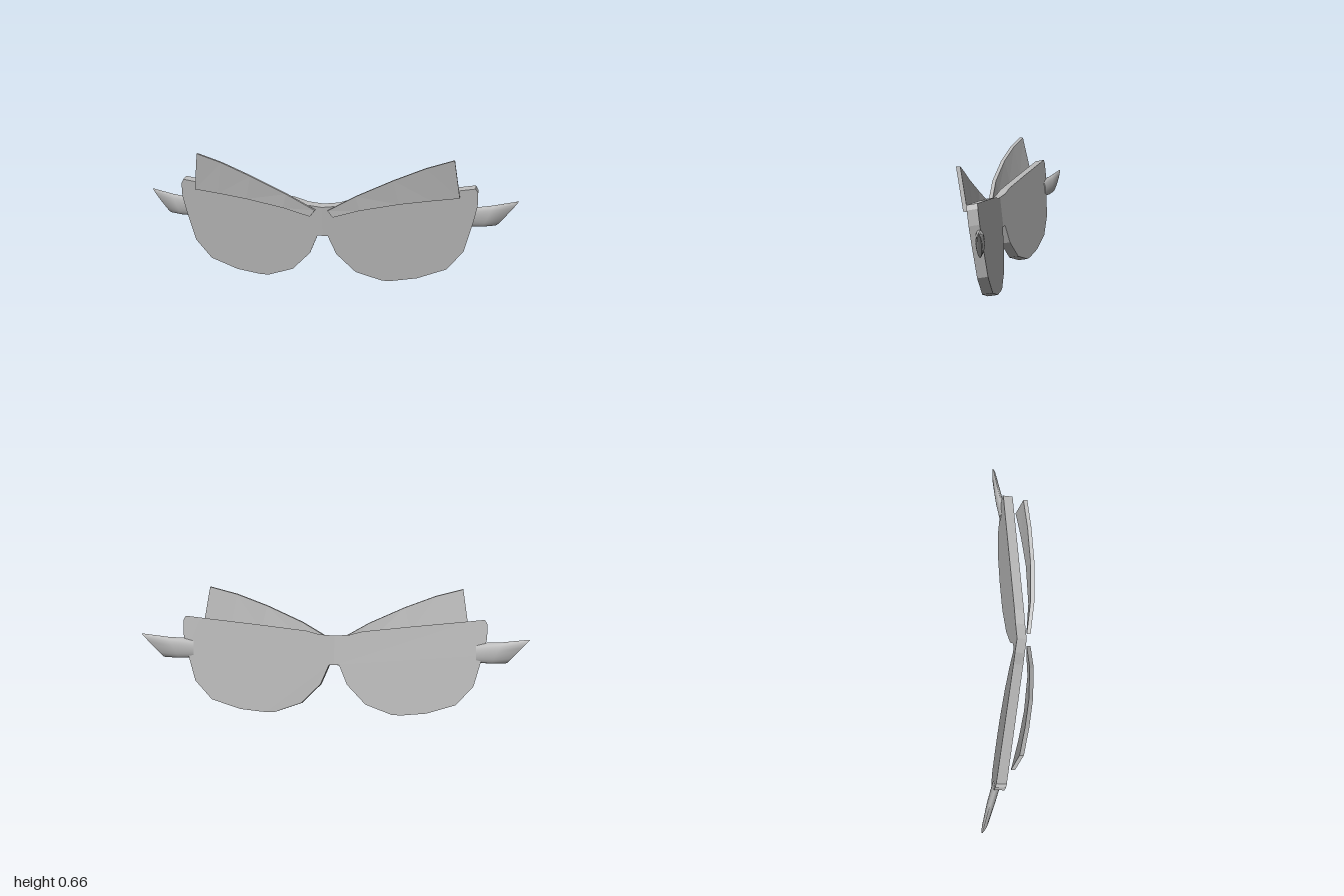
import * as THREE from 'three';
import { toCreasedNormals } from 'three/addons/utils/BufferGeometryUtils.js';

// Triangle list to geometry, optionally mirrored in x with its winding turned
function finish(tris, side, crease) {
  const out = [];
  for (let i = 0; i < tris.length; i += 3) {
    const t = side > 0 ? [tris[i], tris[i + 1], tris[i + 2]] : [tris[i], tris[i + 2], tris[i + 1]];
    for (const p of t) out.push(p[0] * side, p[1], p[2]);
  }
  const g = new THREE.BufferGeometry();
  g.setAttribute('position', new THREE.Float32BufferAttribute(out, 3));
  g.computeVertexNormals();
  return crease ? toCreasedNormals(g, crease) : g;
}

// Closed skin over rings of points, each counter-clockwise seen from +x
function loft(rings) {
  const tris = [], n = rings[0].length;
  for (let i = 0; i < rings.length - 1; i++) {
    for (let j = 0; j < n; j++) {
      const k = (j + 1) % n, A = rings[i], B = rings[i + 1];
      tris.push(A[j], A[k], B[k], A[j], B[k], B[j]);
    }
  }
  const S = rings[0], E = rings[rings.length - 1];
  for (let j = 1; j < n - 1; j++) tris.push(S[0], S[j + 1], S[j], E[0], E[j], E[j + 1]);
  return tris;
}

// Half of the front: an outline laid on a plane that leans and sweeps back
function frameTris() {
  const outline = [
    [0, 0.25], [0.027, 0.25], [0.07, 0.15], [0.17, 0.05], [0.31, 0.003], [0.36, 0.003], [0.49, 0.02],
    [0.64, 0.072], [0.727, 0.172], [0.77, 0.33], [0.79, 0.42], [0.79, 0.49], [0.777, 0.512],
    [0.7, 0.502], [0.4, 0.465], [0.15, 0.432], [0.08, 0.412], [0, 0.405],
  ];
  const shape = new THREE.Shape(outline.map(p => new THREE.Vector2(...p)));
  const pos = new THREE.ExtrudeGeometry(shape, { depth: 1, bevelEnabled: false }).attributes.position;
  const tris = [];
  for (let i = 0; i < pos.count; i++) {
    const x = pos.getX(i), y = pos.getY(i), back = 1 - pos.getZ(i);
    tris.push([x, y + 0.01 * back, 0.04 - 0.128 * x + 0.113 * y - 0.05 * back]);
  }
  return tris;
}

// Raised brow: top and bottom points, from the bridge outwards
function browTris() {
  const columns = [
    [[0.033, 0.392, 0.106], [0.06, 0.358, 0.105]],
    [[0.18, 0.475, 0.122], [0.2, 0.4, 0.112]],
    [[0.37, 0.562, 0.118], [0.4, 0.437, 0.096]],
    [[0.53, 0.625, 0.1], [0.56, 0.455, 0.068]],
    [[0.67, 0.665, 0.076], [0.7, 0.467, 0.036]],
  ];
  const back = p => [p[0], p[1], p[2] - 0.02];
  return loft(columns.map(([t, b]) => [t, b, back(b), back(t)]));
}

// Short side arm: oval sections ending in a slanted cut
function armTris() {
  const sections = [
    { c: [0.74, 0.352, -0.052], h: [0, 0.05, 0.005], w: 0.02 },
    { c: [0.84, 0.357, -0.078], h: [0.025, 0.056, -0.004], w: 0.019 },
    { c: [0.937, 0.37, -0.101], h: [0.053, 0.063, -0.011], w: 0.013 },
    { c: [0.945, 0.371, -0.104], h: [0.053, 0.061, -0.011], w: 0.008 },
  ];
  return loft(sections.map(({ c, h, w }) => Array.from({ length: 20 }, (_, i) => {
    const a = (i / 20) * Math.PI * 2, u = Math.cos(a), v = Math.sin(a);
    return [c[0] + h[0] * u + 0.25 * w * v, c[1] + h[1] * u, c[2] + h[2] * u + w * v];
  })));
}

export function createModel() {
  const model = new THREE.Group();
  model.name = 'glasses';
  const grey = new THREE.MeshStandardMaterial({ color: 0xb8b8b8 });
  grey.name = 'grey';

  const parts = [
    ['LensFrame', frameTris(), 0],
    ['Brow', browTris(), 0],
    ['SideArm', armTris(), 0.9],
  ];
  for (const [side, prefix] of [[1, 'left'], [-1, 'right']]) {
    for (const [name, tris, crease] of parts) {
      const mesh = new THREE.Mesh(finish(tris, side, crease), grey);
      mesh.name = prefix + name;
      model.add(mesh);
    }
  }
  return model;
}
